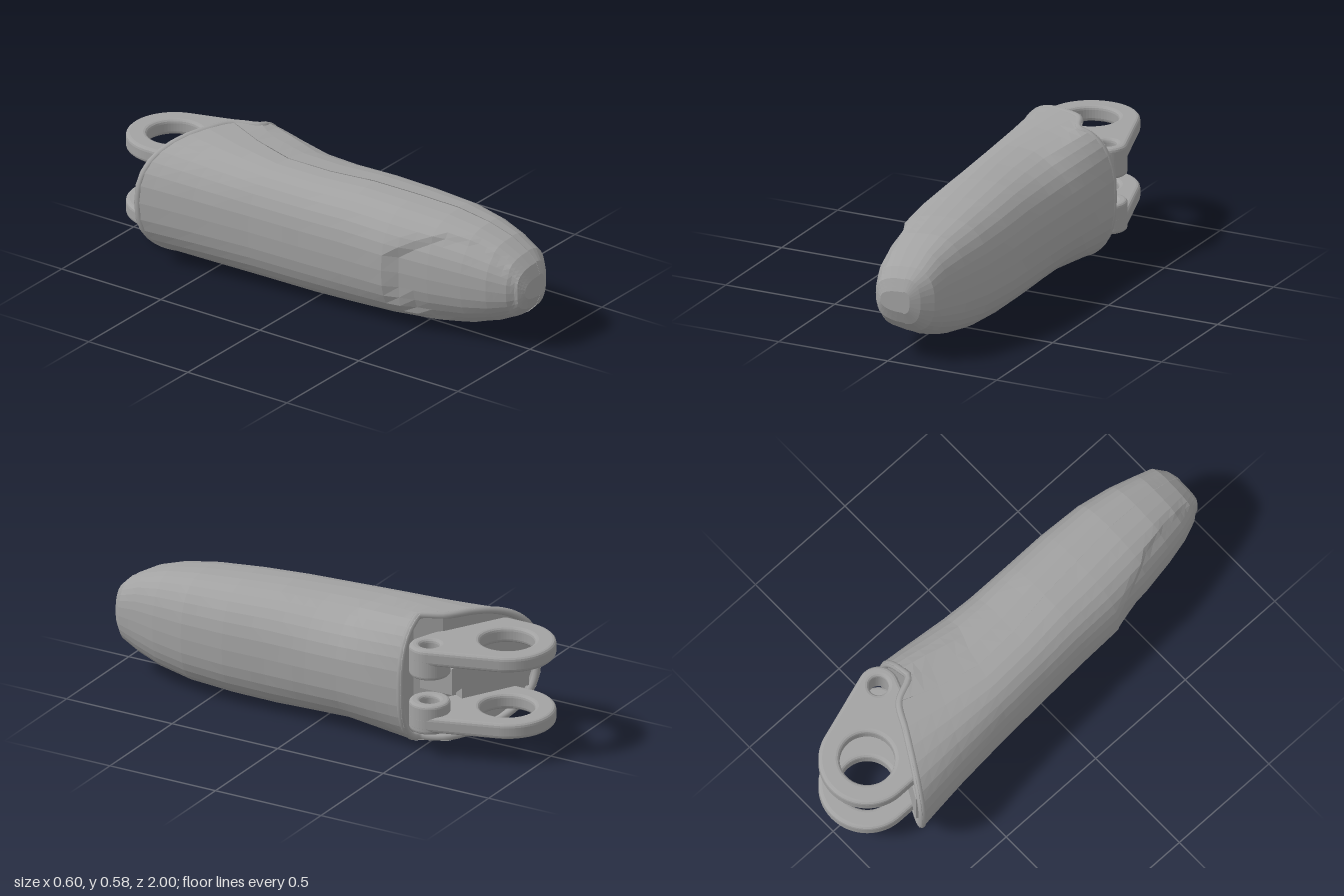
import * as THREE from 'three';

const grey = new THREE.MeshStandardMaterial({ color: 0xa2a2a2, flatShading: true, side: THREE.DoubleSide });
grey.name = 'plain grey';
const smoothGrey = grey.clone();
smoothGrey.flatShading = false;

// Body cross-sections: z, min x, seam x, max x, bottom y, top y
const stations = [
  [-0.615, -0.30, 0.08, 0.30, 0.005, 0.57],
  [-0.4, -0.265, 0.02, 0.29, 0.01, 0.55],
  [-0.2, -0.24, -0.02, 0.28, 0.015, 0.535],
  [0, -0.225, -0.01, 0.272, 0.01, 0.53],
  [0.2, -0.215, 0.02, 0.27, 0.008, 0.53],
  [0.4, -0.21, 0.04, 0.272, 0.015, 0.52],
  [0.6, -0.19, 0.06, 0.262, 0.03, 0.505],
  [0.75, -0.165, 0.065, 0.235, 0.055, 0.48],
  [0.86, -0.14, 0.07, 0.205, 0.09, 0.445],
  [0.94, -0.108, 0.07, 0.185, 0.13, 0.40],
  [0.98, -0.075, 0.07, 0.14, 0.17, 0.36],
  [1.0, -0.035, 0.07, 0.10, 0.22, 0.31],
  [1.0, 0.07, 0.07, 0.07, 0.265, 0.265],
];
const SEG = 16, SUB = 3;

// Slanted rear cut, levelling off beside the hinge
const rearOffset = x => x < 0.1 ? 0.55 * x : Math.min(0.15, 0.055 + (x - 0.1) * 2.4);

function bodyPoint(row, side, u) {
  const [t, x0, seam, x1, y0, y1] = row;
  const a = Math.PI * u, c = Math.cos(a), p = 0.8;
  const w = side > 0 ? x1 - seam : seam - x0;
  const proud = side > 0 && y1 > y0 ? 0.003 : 0;
  let x = seam + side * w * Math.pow(Math.max(0, Math.sin(a)), p);
  const y = (y0 + y1) / 2 + ((y1 - y0) / 2 + proud) * Math.sign(c) * Math.pow(Math.abs(c), p);
  const z = t + rearOffset(x) * (1 - THREE.MathUtils.smoothstep(t, -0.615, 0.1));
  // Sunken fingertip pad on one side
  if (side < 0) {
    const d = Math.hypot((z - 0.7) / 0.3, (y - 0.26) / 0.2);
    x += 0.022 * (1 - THREE.MathUtils.smoothstep(d, 0.88, 1.02));
  }
  return new THREE.Vector3(x, Math.max(0, y), z);
}

function gridGeometry(rows, flip) {
  const pos = rows.flat().flatMap(v => [v.x, v.y, v.z]), idx = [], n = rows[0].length;
  for (let j = 0; j < rows.length - 1; j++) for (let i = 0; i < n - 1; i++) {
    const a = j * n + i, b = a + 1, c = a + n, d = c + 1;
    if (flip) idx.push(a, b, c, b, d, c);
    else idx.push(a, c, b, b, c, d);
  }
  const g = new THREE.BufferGeometry();
  g.setAttribute('position', new THREE.Float32BufferAttribute(pos, 3));
  g.setIndex(idx);
  g.computeVertexNormals();
  return g;
}

function shellGeometry(side) {
  const rows = [];
  for (let j = 0; j < stations.length; j++) {
    const next = stations[j + 1];
    for (let k = 0; k < (next ? SUB : 1); k++) {
      const row = stations[j].map((v, m) => next ? v + (next[m] - v) * k / SUB : v);
      rows.push(Array.from({ length: SEG + 1 }, (_, i) => bodyPoint(row, side, i / SEG)));
    }
  }
  return gridGeometry(rows, side < 0);
}

// Flat outline in x and z, extruded downwards from the given top
function slab(shape, top, height, bevel) {
  const g = new THREE.ExtrudeGeometry(shape, {
    depth: height - 2 * bevel, bevelThickness: bevel, bevelSize: bevel,
    bevelOffset: -bevel, bevelSegments: 3, curveSegments: 28,
  });
  g.rotateX(Math.PI / 2);
  g.translate(0, top - bevel, 0);
  return g;
}

function addHole(shape, x, z, r) {
  const h = new THREE.Path();
  h.absarc(x, z, r, 0, Math.PI * 2, true);
  shape.holes.push(h);
}

export function createModel() {
  const model = new THREE.Group();
  model.name = 'fingerSegment';
  const add = (name, geometry, material = smoothGrey) => {
    const m = new THREE.Mesh(geometry, material);
    m.name = name;
    model.add(m);
    return m;
  };

  // Two shell halves meeting at the seam
  add('leftShell', shellGeometry(1), grey);
  add('rightShell', shellGeometry(-1), grey);

  // Recessed rear wall and rounded rim
  const inset = (side, i) => {
    const v = bodyPoint(stations[0], side, i / SEG);
    return new THREE.Vector3(v.x * 0.955, 0.2875 + (v.y - 0.2875) * 0.955, v.z + 0.012);
  };
  for (const side of [1, -1]) {
    const rows = [];
    for (let i = 0; i <= SEG / 2; i++) {
      rows.push([inset(side, i), inset(side, SEG - i)].map(v => v.setZ(v.z + 0.025)));
    }
    add('rearWall', gridGeometry(rows, side > 0), grey);
  }
  const loop = [];
  for (let i = 0; i < SEG; i++) loop.push(inset(1, i));
  for (let i = SEG; i > 0; i--) loop.push(inset(-1, i));
  add('rearRim', new THREE.TubeGeometry(new THREE.CatmullRomCurve3(loop, true), 96, 0.016, 8, true));

  // Pair of hinge lugs with a large and a small eye
  const lug = new THREE.Shape();
  lug.moveTo(-0.19, -0.64);
  lug.lineTo(-0.19, -0.8);
  lug.absarc(0.01, -0.8, 0.2, Math.PI, 2 * Math.PI - 0.31, false);
  lug.absarc(0.21, -0.55, 0.085, -0.31, 2.0, false);
  lug.lineTo(0.1, -0.5);
  lug.closePath();
  addHole(lug, 0.01, -0.8, 0.113);
  addHole(lug, 0.21, -0.55, 0.04);
  for (const top of [0.482, 0.186]) add('hingeLug', slab(lug, top, 0.068, 0.016));

  // Knuckle barrels around the small eyes
  const ring = new THREE.Shape();
  ring.absarc(0.21, -0.55, 0.085, 0, Math.PI * 2, false);
  addHole(ring, 0.21, -0.55, 0.04);
  for (const top of [0.476, 0.235]) add('knuckleBarrel', slab(ring, top, 0.128, 0.014));

  // Core between the lugs and raised pad on the rear wall
  add('hingeCore', new THREE.BoxGeometry(0.13, 0.115, 0.15), grey).position.set(0.07, 0.293, -0.535);
  const pad = add('rearPad', new THREE.BoxGeometry(0.32, 0.23, 0.06), grey);
  pad.position.set(-0.11, 0.29, -0.655);
  pad.rotation.y = -Math.atan(0.55);
  return model;
}
